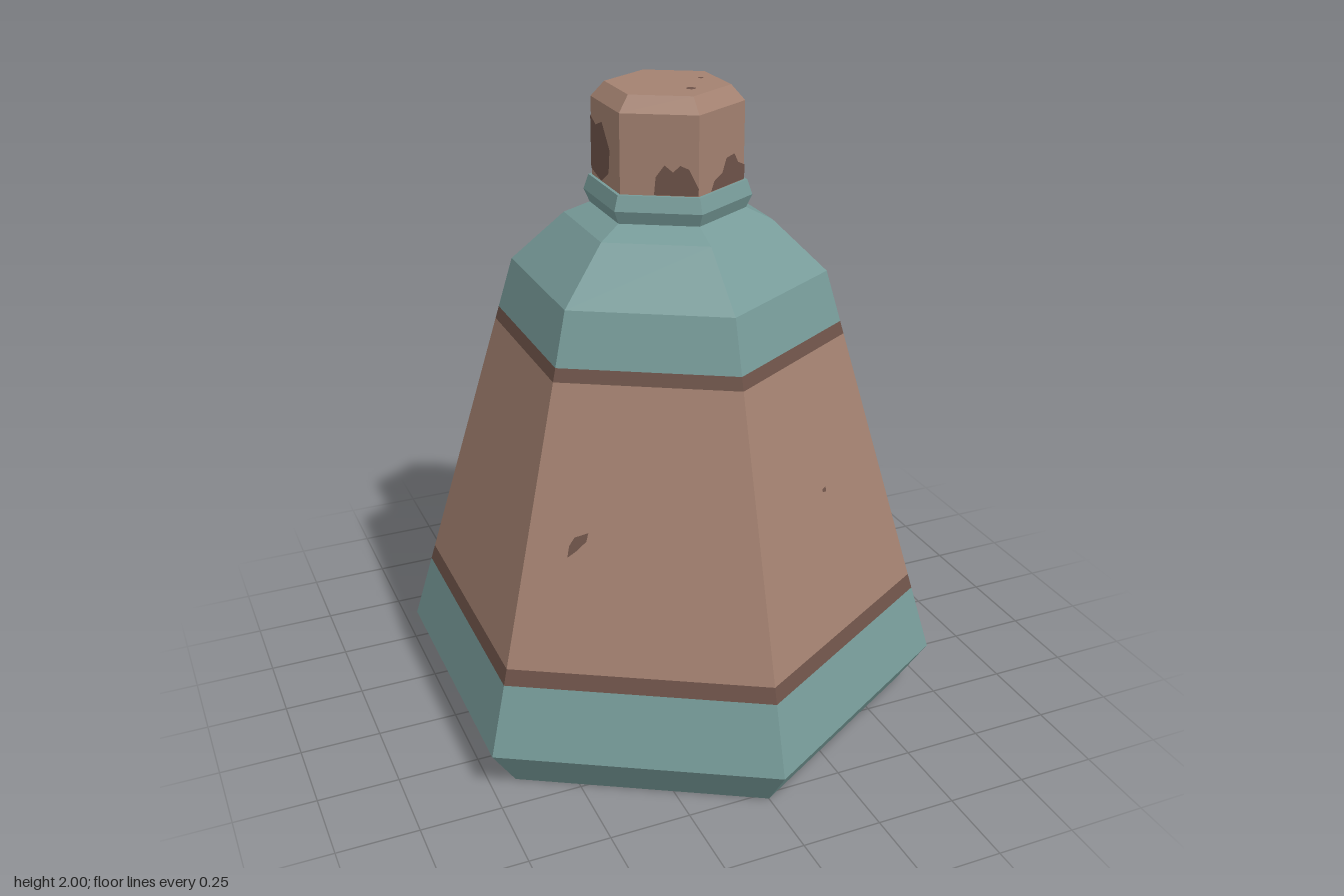
import * as THREE from 'three';

const SIDES = 6;

const mat = (name, color) => {
  const m = new THREE.MeshStandardMaterial({ color, flatShading: true });
  m.name = name;
  return m;
};

// Outline of the flask: [corner radius, height]
const PROFILE = [
  [0.775, 0], [0.87, 0.14], [0.482, 1.445], [0.315, 1.6], [0.235, 1.635],
  [0.253, 1.675], [0.237, 1.72], [0.226, 1.721], [0.226, 1.955], [0.185, 2],
];

// Corner radius of the flask at a given height
function radiusAt(y) {
  for (let i = 1; i < PROFILE.length; i++) {
    const [r0, y0] = PROFILE[i - 1], [r1, y1] = PROFILE[i];
    if (y <= y1) return r0 + (r1 - r0) * (y - y0) / (y1 - y0);
  }
  return PROFILE[PROFILE.length - 1][0];
}

// Patch wrapped on one flat side; points are [offset to the right, height]
function patchGeometry(degrees, points) {
  const shape = new THREE.Shape(points.map(([u, y]) => new THREE.Vector2(u, y)));
  const geo = new THREE.ShapeGeometry(shape);
  const a = THREE.MathUtils.degToRad(degrees), p = geo.attributes.position;
  for (let i = 0; i < p.count; i++) {
    const u = p.getX(i), y = p.getY(i);
    const d = radiusAt(y) * Math.cos(Math.PI / SIDES) + 0.002;
    p.setXYZ(i, d * Math.sin(a) + u * Math.cos(a), y, d * Math.cos(a) - u * Math.sin(a));
  }
  geo.computeVertexNormals();
  return geo;
}

// Small irregular spot outline
const spot = (u, y, r) => Array.from({ length: 7 }, (_, i) => {
  const t = i / 7 * Math.PI * 2, k = r * (1 + 0.25 * Math.sin(i * 2.3));
  return [u + k * Math.cos(t), y + k * 0.8 * Math.sin(t)];
});

export function createModel() {
  const group = new THREE.Group();
  const teal = mat('teal', 0x779b99);
  const brown = mat('brown', 0xa38170);
  const dark = mat('dark brown', 0x6e5349);

  const add = (name, geo, material) => {
    const mesh = new THREE.Mesh(geo, material);
    mesh.name = name;
    group.add(mesh);
  };
  // Six-sided ring between two heights, following the outline
  const band = (name, y0, y1, material, r0 = radiusAt(y0), r1 = radiusAt(y1)) => {
    const geo = new THREE.CylinderGeometry(r1, r0, y1 - y0, SIDES, 1, true);
    add(name, geo.translate(0, (y0 + y1) / 2, 0), material);
  };
  // Flat hexagon facing up or down
  const disc = (name, r, y, up, material) => {
    const geo = new THREE.CircleGeometry(r, SIDES, Math.PI / 2);
    add(name, geo.rotateX(up ? -Math.PI / 2 : Math.PI / 2).translate(0, y, 0), material);
  };

  // Body
  disc('base', 0.775, 0, false, teal);
  band('baseBevel', 0, 0.14, teal);
  band('lowerBody', 0.14, 0.36, teal);
  band('lowerTrim', 0.36, 0.41, dark);
  band('label', 0.41, 1.245, brown);
  band('upperTrim', 1.245, 1.285, dark);
  band('upperBody', 1.285, 1.445, teal);
  band('lowerShoulder', 1.445, 1.6, teal);
  band('upperShoulder', 1.6, 1.635, teal);

  // Neck ring
  band('neckRingLower', 1.635, 1.675, teal);
  band('neckRingUpper', 1.675, 1.72, teal);
  disc('neckRingTop', 0.237, 1.72, true, teal);

  // Stopper
  band('stopper', 1.72, 1.955, brown, 0.226, 0.226);
  band('stopperBevel', 1.955, 2, brown);
  disc('stopperTop', 0.185, 2, true, brown);

  // Stains on the stopper: [side angle, outline]
  const stains = [
    [30, [[-0.055, 1.722], [0.113, 1.722], [0.113, 1.765], [0.08, 1.78], [0.06, 1.81], [0.02, 1.805], [0, 1.765], [-0.04, 1.75]]],
    [330, [[-0.015, 1.722], [0.113, 1.722], [0.113, 1.745], [0.085, 1.8], [0.06, 1.81], [0.04, 1.79], [0.015, 1.81], [-0.01, 1.775]]],
    [90, [[-0.113, 1.722], [0.06, 1.722], [0.055, 1.76], [0.035, 1.8], [0, 1.81], [-0.04, 1.79], [-0.06, 1.745], [-0.113, 1.75]]],
    [90, spot(-0.09, 1.885, 0.02)],
    [150, [[-0.113, 1.73], [-0.03, 1.722], [-0.01, 1.8], [0.113, 1.78], [0.113, 1.954], [0.05, 1.954], [0.02, 1.87], [-0.06, 1.84], [-0.113, 1.82]]],
    [150, [[0.02, 1.957], [0.105, 1.957], [0.09, 1.99], [0.03, 1.985]]],
    [210, spot(0.01, 1.745, 0.016)],
    [210, [[-0.113, 1.86], [-0.08, 1.9], [-0.05, 1.954], [-0.113, 1.954]]],
    [210, [[-0.02, 1.957], [0.1, 1.957], [0.085, 1.98], [0, 1.985]]],
    [270, [[-0.113, 1.74], [-0.03, 1.722], [0.03, 1.76], [0.04, 1.83], [-0.02, 1.9], [-0.07, 1.88], [-0.113, 1.9]]],
  ];
  stains.forEach(([angle, outline]) => add('stopperStain', patchGeometry(angle, outline), dark));

  // Scuffs on the label
  const scuffs = [
    [330, [[-0.22, 0.75], [-0.195, 0.77], [-0.165, 0.8], [-0.16, 0.825], [-0.2, 0.81], [-0.215, 0.785]]],
    [210, [[-0.27, 0.81], [-0.24, 0.83], [-0.21, 0.845], [-0.22, 0.865], [-0.255, 0.85]]],
    [210, spot(-0.31, 0.78, 0.01)], [210, spot(0.01, 0.845, 0.011)],
    [30, spot(0.02, 0.845, 0.01)],
    [90, spot(-0.25, 0.845, 0.013)], [90, spot(0.035, 0.845, 0.02)], [90, spot(0.19, 0.845, 0.009)],
  ];
  scuffs.forEach(([angle, outline]) => add('labelScuff', patchGeometry(angle, outline), dark));

  // Spots on top of the stopper
  [[0.03, 0.1, 0.015], [0.11, -0.01, 0.009]].forEach(([x, z, r]) => {
    const geo = new THREE.CircleGeometry(r, 7).rotateX(-Math.PI / 2);
    add('stopperTopSpot', geo.translate(x, 2.002, z), dark);
  });

  return group;
}
